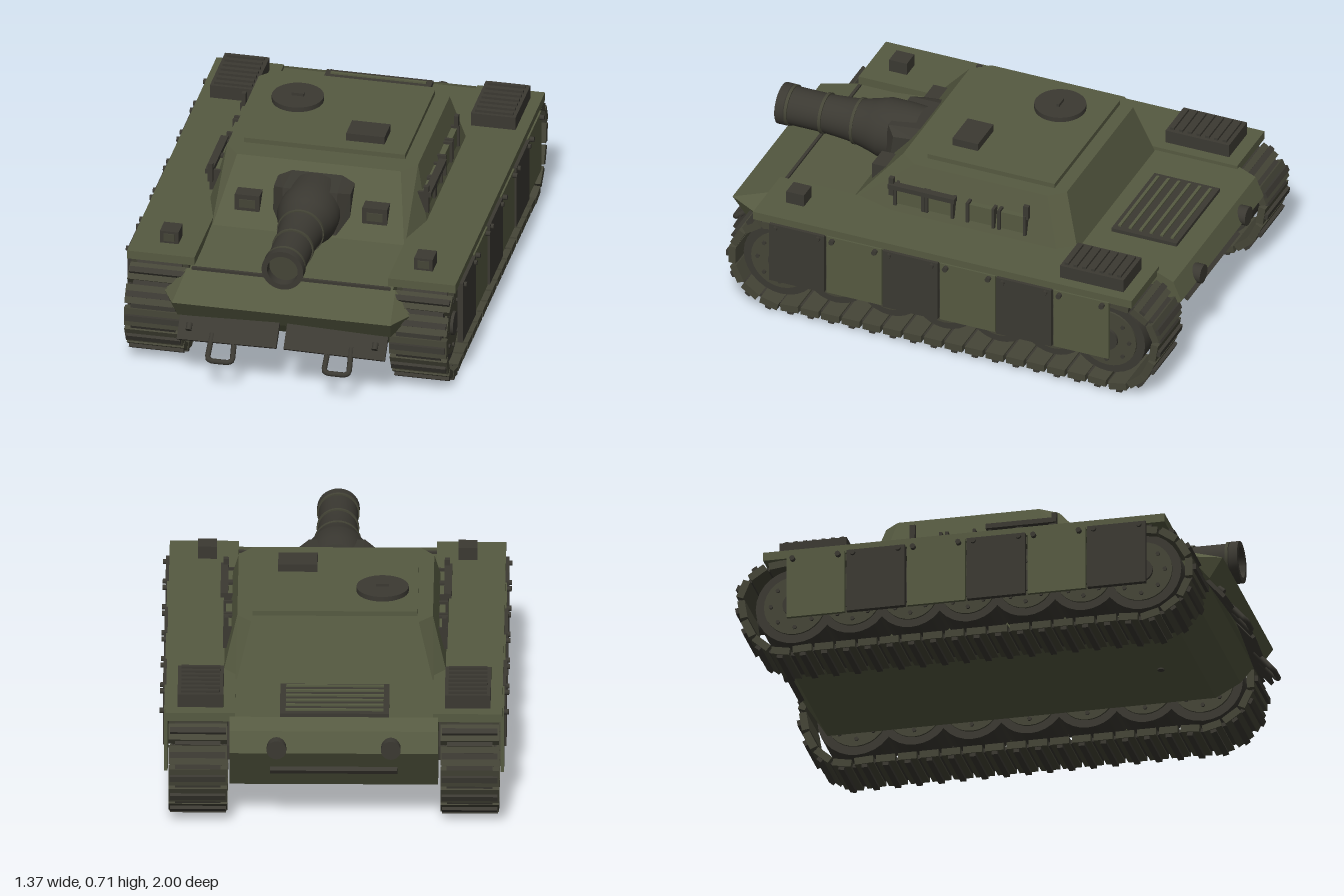
import * as THREE from 'three';
import { toCreasedNormals } from 'three/addons/utils/BufferGeometryUtils.js';
import { ConvexGeometry } from 'three/addons/geometries/ConvexGeometry.js';

const paint = (name, color) => {
  const m = new THREE.MeshStandardMaterial({ color });
  m.name = name;
  return m;
};

export function createModel() {
  const green = paint('olive green', 0x565a41);
  const dark = paint('dark steel', 0x3b3932);
  const iron = paint('track iron', 0x454537);
  const model = new THREE.Group();
  model.name = 'assaultGun';

  const add = (name, geo, mat, x = 0, y = 0, z = 0, parent = model) => {
    const m = new THREE.Mesh(geo, mat);
    m.name = name;
    m.position.set(x, y, z);
    parent.add(m);
    return m;
  };
  // box given by its extents
  const box = (name, mat, x0, x1, y0, y1, z0, z1, parent) =>
    add(name, new THREE.BoxGeometry(Math.abs(x1 - x0), y1 - y0, z1 - z0), mat,
      (x0 + x1) / 2, (y0 + y1) / 2, (z0 + z1) / 2, parent);
  const cylX = (r, w, n = 28) => new THREE.CylinderGeometry(r, r, w, n).rotateZ(Math.PI / 2);
  const both = (fn) => [-1, 1].forEach(fn);
  // convex solid from points mirrored across x = 0
  const mirroredHull = (pts) => new ConvexGeometry(
    pts.flatMap(([x, y, z]) => [new THREE.Vector3(x, y, z), new THREE.Vector3(-x, y, z)]));

  // hull: side profile (z, y) extruded across the width
  const profile = [[0.74, 0.405], [0.4, 0.44], [-0.88, 0.44], [-0.95, 0.41], [-0.985, 0.33],
    [-0.87, 0.145], [0.7, 0.145], [0.8, 0.2], [0.86, 0.27]];
  const shape = new THREE.Shape(profile.map(([z, y]) => new THREE.Vector2(z, y)));
  add('hull', new THREE.ExtrudeGeometry(shape, { depth: 0.82, bevelEnabled: false })
    .rotateY(-Math.PI / 2).translate(0.41, 0, 0), green);

  // pointed nose armour
  add('nose', mirroredHull([[0.42, 0.405, 0.74], [0.5, 0.335, 0.8], [0.44, 0.345, 0.925],
    [0.43, 0.265, 0.87], [0.42, 0.24, 0.74]]), green);
  box('glacisLip', dark, -0.4, 0.4, 0.4, 0.414, 0.735, 0.747);

  // lower front plates and tow loops
  both((s) => {
    const plate = add('lowerFrontPlate', new THREE.BoxGeometry(0.405, 0.125, 0.015), dark,
      s * 0.217, 0.24, 0.895);
    plate.rotation.x = -0.72;
    plate.rotation.y = s * 0.06;
    add('plateBolt', new THREE.CylinderGeometry(0.012, 0.012, 0.03, 10).rotateX(Math.PI / 2 + 0.7),
      dark, s * 0.375, 0.235, 0.905);
    const loop = new THREE.CatmullRomCurve3([[-0.045, 0.22, 0.91], [-0.05, 0.145, 0.975],
      [-0.035, 0.137, 0.985], [0.035, 0.137, 0.985], [0.05, 0.145, 0.975], [0.045, 0.22, 0.91]]
      .map((p) => new THREE.Vector3(...p)), false, 'catmullrom', 0.1);
    add('towLoop', new THREE.TubeGeometry(loop, 30, 0.011, 8), dark, s * 0.235);
  });

  // casemate with chamfered corners, roof plate
  add('casemate', mirroredHull([[0.445, 0.42, 0.26], [0.39, 0.42, 0.445], [0.445, 0.42, -0.47],
    [0.39, 0.42, -0.535], [0.385, 0.66, 0.17], [0.33, 0.66, 0.24], [0.385, 0.66, -0.4],
    [0.33, 0.66, -0.46]]), green);
  box('roofPlate', green, -0.325, 0.325, 0.655, 0.68, -0.405, 0.14);
  add('roundHatch', new THREE.CylinderGeometry(0.103, 0.103, 0.022, 32), dark, -0.185, 0.689, -0.21);
  box('hatchHandle', dark, -0.21, -0.16, 0.7, 0.712, -0.216, -0.204);
  box('roofPeriscope', dark, 0.073, 0.228, 0.68, 0.712, -0.035, 0.075);
  both((s) => {
    box('visionBlock', dark, s * 0.207, s * 0.307, 0.49, 0.56, 0.27, 0.385);
    box('visionSlit', iron, s * 0.225, s * 0.289, 0.505, 0.54, 0.38, 0.389);
  });

  // gun mount and barrel
  add('mantlet', mirroredHull([[0.155, 0.45, 0.28], [0.155, 0.61, 0.26], [0.155, 0.45, 0.38],
    [0.155, 0.6, 0.36], [0.11, 0.44, 0.425], [0.11, 0.62, 0.4], [0.1, 0.63, 0.25]]), dark);
  const bore = [[0.118, 0.3], [0.122, 0.37], [0.122, 0.455], [0.108, 0.5], [0.094, 0.555],
    [0.086, 0.6], [0.078, 0.7], [0.078, 0.86], [0.084, 0.865], [0.084, 0.9], [0.062, 0.9],
    [0.06, 0.65], [0, 0.65]].map(([r, y]) => new THREE.Vector2(r, y));
  add('barrel', toCreasedNormals(new THREE.LatheGeometry(bore, 40).rotateX(Math.PI / 2), 0.5),
    dark, 0, 0.527, 0);
  [[0.57, 0.095], [0.71, 0.084], [0.855, 0.084]].forEach(([z, r]) =>
    add('barrelBand', new THREE.CylinderGeometry(r, r, 0.012, 36).rotateX(Math.PI / 2), iron, 0, 0.527, z));

  // engine grille
  box('engineGrille', dark, -0.217, 0.213, 0.435, 0.455, -0.88, -0.6);
  for (let i = 0; i < 6; i++) {
    const z = -0.85 + i * 0.045;
    box('grilleSlat', green, -0.195, 0.19, 0.455, 0.462, z - 0.006, z + 0.006);
  }
  // rear plate fittings
  both((s) => add('exhaust', new THREE.CylinderGeometry(0.039, 0.039, 0.1, 20).rotateX(Math.PI / 2),
    dark, s * 0.225, 0.35, -0.95));
  add('rearStep', new THREE.BoxGeometry(0.5, 0.02, 0.03), dark, 0, 0.24, -0.935).rotation.x = -0.55;
  add('drainPlug', new THREE.CylinderGeometry(0.014, 0.014, 0.008, 12), dark, 0.1, 0.143, 0.55);

  // fenders with their boxes, and skirts
  both((s) => {
    box('fender', green, s * 0.39, s * 0.662, 0.42, 0.455, -0.88, 0.742);
    box('rearVentBox', dark, s * 0.436, s * 0.616, 0.45, 0.51, -0.825, -0.553);
    for (let i = 0; i < 7; i++) {
      const z = -0.8 + i * 0.0375;
      box('ventRib', dark, s * 0.45, s * 0.602, 0.51, 0.52, z - 0.008, z + 0.008);
    }
    box('headlampBox', dark, s * 0.475, s * 0.55, 0.455, 0.507, 0.572, 0.648);
    box('headlampFace', iron, s * 0.49, s * 0.535, 0.465, 0.497, 0.645, 0.652);
    const step = 1.46 / 6;
    for (let i = 0; i < 6; i++) {
      const z1 = 0.672 - i * step;
      const heavy = i % 2 === 0;
      box('skirtPanel', heavy ? dark : green, s * 0.655, s * (heavy ? 0.676 : 0.669),
        0.162, 0.425, z1 - step + 0.004, z1 - 0.004);
      [0.03, step - 0.03].forEach((d) =>
        add('skirtBolt', cylX(0.011, 0.022, 8), dark, s * 0.676, 0.41, z1 - d));
    }
  });

  // tool racks along the casemate sides
  both((s) => {
    box('rackRail', dark, s * 0.425, s * 0.455, 0.565, 0.585, -0.03, 0.255);
    box('rackPost', dark, s * 0.42, s * 0.437, 0.56, 0.62, -0.34, -0.318);
    box('rackClamp', dark, s * 0.425, s * 0.445, 0.53, 0.61, 0.235, 0.255);
    [[0.23, 0.11], [0.095, -0.015], [-0.08, -0.19], [-0.215, -0.325]].forEach(([z1, z0]) => {
      box('stowedPlate', green, s * 0.38, s * 0.432, 0.49, 0.565, z0, z1);
      [z0, z1].forEach((z) => box('rackStrap', dark, s * 0.385, s * 0.442, 0.485, 0.575, z - 0.006, z + 0.006));
    });
  });

  // running gear
  const path = new THREE.CatmullRomCurve3([[0.68, 0.032], [0.79, 0.095], [0.835, 0.2], [0.815, 0.3],
    [0.74, 0.375], [0.64, 0.4], [0.2, 0.4], [-0.35, 0.4], [-0.8, 0.405], [-0.9, 0.38],
    [-0.963, 0.31], [-0.965, 0.22], [-0.925, 0.11], [-0.83, 0.034], [-0.7, 0.032], [-0.3, 0.032],
    [0.2, 0.032], [0.55, 0.032]].map(([z, y]) => new THREE.Vector3(0, y, z)), true, 'centripetal');
  path.arcLengthDivisions = 600;
  const links = 46;
  both((s) => {
    const track = new THREE.Group();
    track.name = s > 0 ? 'leftTrack' : 'rightTrack';
    track.position.x = s * 0.535;
    model.add(track);
    for (let i = 0; i < links; i++) {
      const p = path.getPointAt(i / links);
      const t = path.getTangentAt(i / links);
      const link = new THREE.Group();
      link.name = 'trackLink';
      link.position.copy(p);
      link.rotation.x = Math.atan2(-t.y, t.z);
      track.add(link);
      // local +y points away from the loop
      box('linkPlate', iron, -0.115, 0.115, -0.016, 0.014, -0.038, 0.038, link);
      box('linkCleat', dark, -0.11, 0.11, -0.03, -0.016, -0.012, 0.012, link);
      box('linkPin', dark, -0.09, 0.09, -0.008, 0.008, 0.036, 0.056, link);
    }
    for (let i = 0; i < 7; i++) {
      const end = i === 0 || i === 6;
      const z = 0.64 - i * 0.2333;
      const r = end ? 0.16 : 0.145;
      const y = end ? 0.23 : 0.235;
      add('wheel', cylX(r, 0.17), dark, 0, y, z, track);
      add('wheelDisc', cylX(r * 0.78, 0.186), iron, 0, y, z, track);
      add('wheelHub', cylX(r * 0.3, 0.21, 18), dark, 0, y, z, track);
      for (let k = 0; k < 8; k++) {
        const a = k * Math.PI / 4;
        add('wheelBolt', cylX(0.009, 0.2, 6), dark, 0, y + Math.sin(a) * r * 0.6, z + Math.cos(a) * r * 0.6, track);
      }
    }
    // axle beam behind the wheels
    box('axleBeam', dark, s * -0.13, s * -0.07, 0.2, 0.26, -0.76, 0.64, track);
  });

  return model;
}
